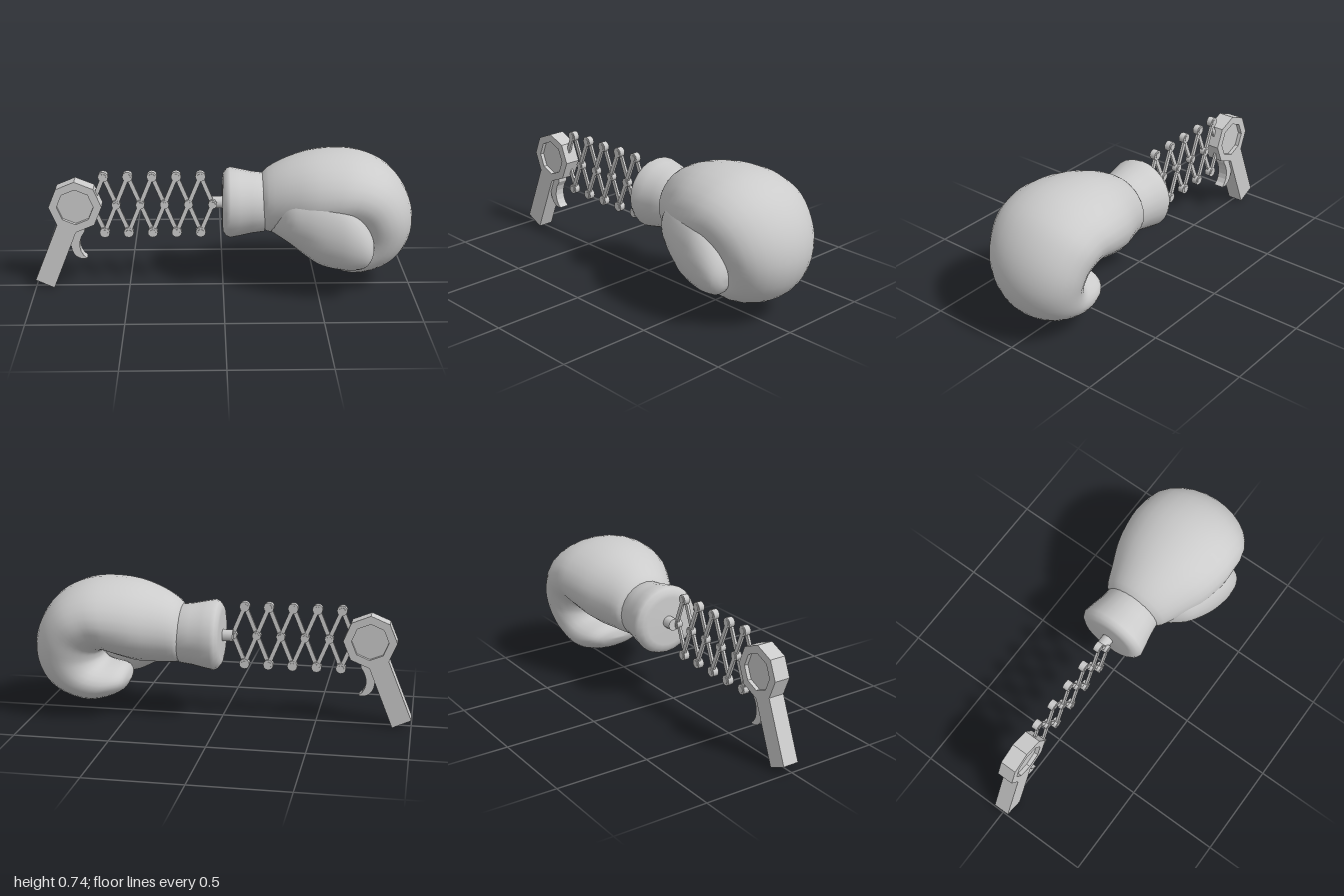
import * as THREE from 'three';

const mat = new THREE.MeshStandardMaterial({ color: 0xcccccc });
const flat = new THREE.MeshStandardMaterial({ color: 0xcccccc, flatShading: true });

function add(parent, name, geometry, material = mat) {
  const mesh = new THREE.Mesh(geometry, material);
  mesh.name = name;
  parent.add(mesh);
  return mesh;
}

// Smooth closed skin over elliptical rings: [outerX, outerY, innerX, innerY, halfWidth, centreZ]
function loft(rings, steps, sides) {
  const curve = (f) => new THREE.CatmullRomCurve3(rings.map(f), false, 'centripetal');
  const outer = curve((r) => new THREE.Vector3(r[0], r[1], 0));
  const inner = curve((r) => new THREE.Vector3(r[2], r[3], 0));
  const width = curve((r, i) => new THREE.Vector3(r[4], r[5], i * 0.1));
  const pos = [], index = [];
  for (let i = 0; i <= steps; i++) {
    const t = i / steps;
    const o = outer.getPoint(t), n = inner.getPoint(t), w = width.getPoint(t);
    for (let j = 0; j < sides; j++) {
      const a = (j / sides) * Math.PI * 2, k = (1 + Math.cos(a)) / 2;
      pos.push(n.x + (o.x - n.x) * k, n.y + (o.y - n.y) * k, w.y + w.x * Math.sin(a));
      if (i === steps) continue;
      const p = i * sides + j, q = i * sides + ((j + 1) % sides);
      index.push(p, q, p + sides, q, q + sides, p + sides);
    }
  }
  // end caps
  [0, steps].forEach((row) => {
    const c = pos.length / 3, r = rings[row ? rings.length - 1 : 0];
    pos.push((r[0] + r[2]) / 2, (r[1] + r[3]) / 2, r[5]);
    for (let j = 0; j < sides; j++) {
      const p = row * sides + j, q = row * sides + ((j + 1) % sides);
      if (row) index.push(c, p, q); else index.push(c, q, p);
    }
  });
  const g = new THREE.BufferGeometry();
  g.setAttribute('position', new THREE.Float32BufferAttribute(pos, 3));
  g.setIndex(index);
  g.computeVertexNormals();
  return g;
}

function extrude(shape, depth, z) {
  const g = new THREE.ExtrudeGeometry(shape, { depth, bevelEnabled: false, curveSegments: 6 });
  return g.translate(0, 0, z - depth / 2);
}

const GUN_Z = -0.007, LINK_Z = -0.011, AXIS_Y = 0.455;

function makeGrip() {
  const grip = new THREE.Group();
  grip.name = 'grip';
  const octagon = (r) => Array.from({ length: 8 }, (_, k) => {
    const a = (k * Math.PI) / 4 - Math.PI / 2;
    return new THREE.Vector2(-0.775 + r * Math.cos(a), AXIS_Y + r * Math.sin(a));
  });
  // octagonal head running down into the slanted handle
  const outline = [...octagon(0.139), new THREE.Vector2(-1, 0.045), new THREE.Vector2(-0.902, 0)];
  const shape = new THREE.Shape(outline);
  shape.holes.push(new THREE.Path(octagon(0.096).reverse()));
  add(grip, 'handleAndHead', extrude(shape, 0.087, GUN_Z), flat);
  // recessed floor on both faces
  add(grip, 'headPanel', extrude(new THREE.Shape(octagon(0.098)), 0.045, GUN_Z), flat);
  // hooked trigger
  const t = new THREE.Shape();
  t.moveTo(-0.81, 0.33);
  t.lineTo(-0.805, 0.235);
  t.bezierCurveTo(-0.802, 0.18, -0.765, 0.15, -0.722, 0.162);
  t.bezierCurveTo(-0.765, 0.19, -0.775, 0.26, -0.73, 0.315);
  t.lineTo(-0.73, 0.345);
  add(grip, 'trigger', extrude(t, 0.055, GUN_Z));
  return grip;
}

function makeScissorArm() {
  const arm = new THREE.Group();
  arm.name = 'scissorArm';
  const START = -0.626, PITCH = 0.127, RISE = 0.155;
  const bar = (x1, y1, x2, y2, side) => {
    const m = add(arm, 'linkBar', new THREE.BoxGeometry(Math.hypot(x2 - x1, y2 - y1), 0.022, 0.013));
    m.position.set((x1 + x2) / 2, AXIS_Y + (y1 + y2) / 2, LINK_Z + side * 0.007);
    m.rotation.z = Math.atan2(y2 - y1, x2 - x1);
  };
  const joint = (x, y, r) => {
    [[r, 0.032], [r * 0.6, 0.038]].forEach(([radius, depth]) => {
      const g = new THREE.CylinderGeometry(radius, radius, depth, 12).rotateX(Math.PI / 2);
      add(arm, 'pivot', g).position.set(x, AXIS_Y + y, LINK_Z);
    });
  };
  for (let i = 0; i < 5; i++) {
    const x = START + i * PITCH;
    for (const s of [-1, 1]) {
      joint(x, s * RISE, 0.027);
      if (i < 4) bar(x, -s * RISE, x + PITCH, s * RISE, s);
      // half bars at both ends of the arm
      if (i === 0) bar(x - PITCH / 2, 0, x, s * RISE, s);
      if (i === 4) bar(x, -s * RISE, x + PITCH / 2, 0, s);
    }
    joint(x + PITCH / 2, 0, 0.024);
  }
  return arm;
}

function makeGlove() {
  const glove = new THREE.Group();
  glove.name = 'glove';
  // short rod and flared cuff, turned around the x axis
  const rod = add(glove, 'mountRod', new THREE.CylinderGeometry(0.032, 0.032, 0.08, 12).rotateZ(Math.PI / 2));
  rod.position.set(-0.02, AXIS_Y, -0.036);
  const profile = [[0, -0.006], [0.13, -0.004], [0.155, 0], [0.178, 0.015], [0.188, 0.037], [0.178, 0.09],
    [0.165, 0.15], [0.157, 0.215], [0.14, 0.228], [0, 0.23]].map((p) => new THREE.Vector2(p[0], p[1]));
  const cuff = add(glove, 'cuff', new THREE.LatheGeometry(profile, 24).rotateZ(-Math.PI / 2));
  cuff.position.set(0, AXIS_Y, -0.033);

  // hand curling over into the tucked fingers
  add(glove, 'mitten', loft([
    [0.2, 0.605, 0.21, 0.315, 0.15, -0.033],
    [0.23, 0.638, 0.23, 0.305, 0.18, -0.033],
    [0.32, 0.69, 0.32, 0.3, 0.225, -0.025],
    [0.465, 0.735, 0.43, 0.305, 0.282, -0.02],
    [0.64, 0.743, 0.54, 0.335, 0.308, -0.018],
    [0.76, 0.717, 0.6, 0.355, 0.305, -0.018],
    [0.866, 0.658, 0.63, 0.355, 0.3, -0.02],
    [0.95, 0.556, 0.645, 0.345, 0.285, -0.022],
    [0.995, 0.44, 0.65, 0.33, 0.27, -0.025],
    [0.998, 0.32, 0.65, 0.31, 0.25, -0.028],
    [0.95, 0.2, 0.635, 0.29, 0.23, -0.03],
    [0.866, 0.123, 0.61, 0.28, 0.215, -0.03],
    [0.717, 0.077, 0.57, 0.275, 0.2, -0.03],
    [0.6, 0.1, 0.53, 0.265, 0.175, -0.03],
    [0.525, 0.14, 0.505, 0.24, 0.125, -0.03],
    [0.498, 0.185, 0.496, 0.2, 0.03, -0.03],
  ], 42, 28));

  // thumb lying along the palm side
  add(glove, 'thumb', loft([
    [0.24, 0.49, 0.24, 0.32, 0.09, 0.01],
    [0.33, 0.56, 0.33, 0.285, 0.14, 0.085],
    [0.42, 0.59, 0.41, 0.235, 0.145, 0.13],
    [0.51, 0.59, 0.5, 0.185, 0.135, 0.17],
    [0.61, 0.56, 0.6, 0.167, 0.125, 0.195],
    [0.685, 0.49, 0.67, 0.165, 0.11, 0.205],
    [0.74, 0.4, 0.73, 0.18, 0.085, 0.21],
    [0.768, 0.335, 0.762, 0.22, 0.052, 0.21],
    [0.776, 0.29, 0.774, 0.265, 0.015, 0.21],
  ], 28, 24));
  return glove;
}

export function createModel() {
  const model = new THREE.Group();
  model.name = 'extendingBoxingGlove';
  model.add(makeGrip(), makeScissorArm(), makeGlove());
  return model;
}
